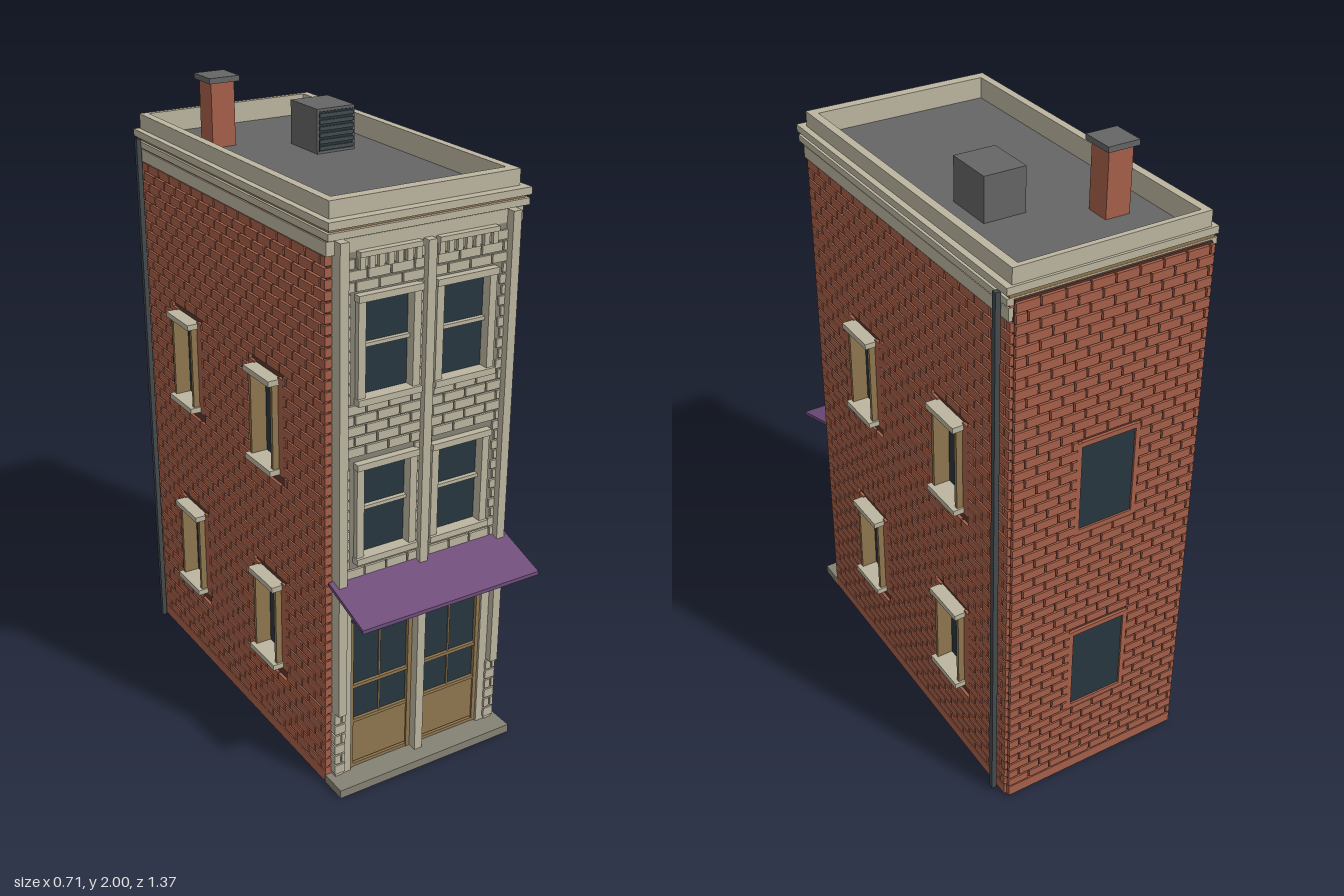
import * as THREE from 'three';
import { mergeGeometries } from 'three/addons/utils/BufferGeometryUtils.js';

const mat = (name, color) => {
  const m = new THREE.MeshStandardMaterial({ color });
  m.name = name;
  return m;
};

export function createModel() {
  const brick = mat('brick', 0xa65f49), mortar = mat('mortar', 0x5a362b);
  const stone = mat('stone', 0xbcb59f), darkStone = mat('darkStone', 0x858174);
  const wood = mat('wood', 0x8f754e), glass = mat('glass', 0x27363f);
  const metal = mat('metal', 0x444a4e), roofGrey = mat('roofGrey', 0x656565);
  const purple = mat('awningPurple', 0x6f4d7b);

  const model = new THREE.Group();
  model.name = 'townhouse';
  const group = (name, parent = model) => {
    const g = new THREE.Group();
    g.name = name;
    parent.add(g);
    return g;
  };
  const add = (name, m, geo, parent = model) => {
    const mesh = new THREE.Mesh(geo, m);
    mesh.name = name;
    parent.add(mesh);
    return mesh;
  };
  const boxGeo = (x0, x1, y0, y1, z0, z1) =>
    new THREE.BoxGeometry(x1 - x0, y1 - y0, z1 - z0).translate((x0 + x1) / 2, (y0 + y1) / 2, (z0 + z1) / 2);
  const box = (name, m, x0, x1, y0, y1, z0, z1, parent) => add(name, m, boxGeo(x0, x1, y0, y1, z0, z1), parent);

  // Wall panel facing +z with rectangular window openings [u0, u1, y0, y1]
  const rect = (Type, [a, b, c, d]) =>
    new Type([[a, c], [b, c], [b, d], [a, d]].map(p => new THREE.Vector2(...p)));
  const panel = (name, m, parent, outline, openings, z0, z1) => {
    const shape = rect(THREE.Shape, outline);
    shape.holes = openings.map(o => rect(THREE.Path, o));
    add(name, m, new THREE.ExtrudeGeometry(shape, { depth: z1 - z0, bevelEnabled: false }).translate(0, 0, z0), parent);
  };

  // Running-bond courses on a wall facing +z, leaving rectangular openings free
  const courses = (name, m, parent, { u0, u1, y0, y1, z0, z1, len = 0.076, row = 0.0325, gap = 0.0058, holes = [] }) => {
    const geos = [];
    const n = Math.round((y1 - y0) / row), h = (y1 - y0) / n;
    for (let r = 0; r < n; r++) {
      const a = y0 + r * h, b = a + h - gap;
      const cuts = holes.filter(k => k[2] < b && k[3] > a);
      for (let u = u0 - (r % 2) * len / 2; u < u1; u += len) {
        let pieces = [[Math.max(u, u0), Math.min(u + len - gap, u1)]];
        for (const k of cuts) {
          pieces = pieces.flatMap(([p, q]) =>
            q <= k[0] || p >= k[1] ? [[p, q]] : [[p, k[0]], [k[1], q]]);
        }
        for (const [p, q] of pieces) if (q - p > 0.005) geos.push(boxGeo(p, q, a, b, z0, z1));
      }
    }
    add(name, m, mergeGeometries(geos), parent);
  };

  // Rectangular ring around the roof, all sharing one inner outline
  const ring = (name, m, x, zb, zf, y0, y1) => {
    const g = group(name);
    const ix = 0.284, ib = -0.645, jf = 0.465;
    box(name + 'Left', m, ix, x, y0, y1, zb, zf, g);
    box(name + 'Right', m, -x, -ix, y0, y1, zb, zf, g);
    box(name + 'Front', m, -ix, ix, y0, y1, jf, zf, g);
    box(name + 'Back', m, -ix, ix, y0, y1, zb, ib, g);
  };

  // Core, underside, roof deck and front step
  box('wallCore', mortar, -0.284, 0.284, 0.012, 1.74, -0.675, 0.486);
  box('groundSlab', darkStone, -0.308, 0.308, 0, 0.012, -0.668, 0.5);
  box('roofDeck', roofGrey, -0.284, 0.284, 1.74, 1.783, -0.645, 0.465);
  box('frontStep', darkStone, -0.318, 0.318, 0, 0.028, 0.487, 0.58);

  // Side walls with bricks, recessed windows and downpipes
  const floors = [[0.285, 0.565], [0.965, 1.25]];
  for (const s of [1, -1]) {
    const side = group(s > 0 ? 'leftWall' : 'rightWall');
    side.rotation.y = s * Math.PI / 2;
    const holes = [], openings = [];
    for (const c of [-0.16 * s, 0.36 * s]) for (const [a, b] of floors) {
      holes.push([c - 0.1, c + 0.1, a - 0.02, b + 0.02]);
      openings.push([c - 0.07, c + 0.07, a, b]);
      const w = group('sideWindow', side);
      box('pane', glass, c - 0.062, c + 0.062, a, b, 0.284, 0.288, w);
      box('lintel', stone, c - 0.077, c + 0.077, b - 0.008, b + 0.01, 0.285, 0.354, w);
      box('sill', stone, c - 0.077, c + 0.077, a - 0.01, a + 0.008, 0.285, 0.354, w);
      for (const e of [-1, 1]) {
        const j = c + e * 0.065;
        box('jamb', wood, j - 0.006, j + 0.006, a, b, 0.284, 0.339, w);
        const k = c + e * 0.0855;
        box('brickSurround', brick, k - 0.0145, k + 0.0145, a - 0.015, b + 0.015, 0.309, 0.319, w);
      }
    }
    const u0 = s > 0 ? -0.49 : -0.67;
    panel('mortarPanel', mortar, side, [u0 + 0.002, u0 + 1.158, 0.012, 1.74], openings, 0.284, 0.31);
    courses('bricks', brick, side, { u0, u1: u0 + 1.16, y0: 0.045, y1: 1.705, z0: 0.308, z1: 0.319, holes });
    box('plinth', brick, u0, u0 + 1.16, 0.004, 0.04, 0.308, 0.319, side);
    box('downpipe', metal, s * 0.335 - 0.008, s * 0.335 + 0.008, 0.01, 1.778, -0.638, -0.622);
  }

  // Back wall with a single column of windows
  const back = group('backWall');
  back.rotation.y = Math.PI;
  box('mortarPanel', mortar, -0.308, 0.308, 0.012, 1.765, 0.668, 0.675, back);
  courses('bricks', brick, back, {
    u0: -0.31, u1: 0.31, y0: 0.045, y1: 1.765, z0: 0.673, z1: 0.684,
    holes: floors.map(([a, b]) => [-0.105, 0.105, a - 0.015, b + 0.015])
  });
  box('plinth', brick, -0.31, 0.31, 0.004, 0.04, 0.667, 0.684, back);
  for (const [a, b] of floors) {
    box('backPane', glass, -0.09, 0.09, a, b, 0.674, 0.678, back);
    for (const e of [-1, 1]) box('reveal', brick, e * 0.0975 - 0.0075, e * 0.0975 + 0.0075, a - 0.015, b + 0.015, 0.673, 0.684, back);
    for (const y of [a - 0.008, b + 0.008]) box('reveal', brick, -0.09, 0.09, y - 0.008, y + 0.008, 0.673, 0.684, back);
  }

  // Cornice and parapet
  ring('frieze', stone, 0.322, -0.667, 0.505, 1.703, 1.742);
  ring('corniceGap', brick, 0.318, -0.666, 0.5, 1.742, 1.75);
  ring('lowerCornice', stone, 0.328, -0.668, 0.525, 1.75, 1.77);
  ring('corniceStrip', wood, 0.32, -0.667, 0.515, 1.77, 1.78);
  ring('upperCornice', stone, 0.33, -0.67, 0.53, 1.78, 1.802);
  ring('parapet', stone, 0.31, -0.662, 0.5, 1.802, 1.85);

  // Front facade
  const front = group('frontFacade');
  const frontHoles = [], frontOpenings = [];
  for (const s of [-1, 1]) {
    const c = s * 0.128;
    for (const y of [0.775, 1.275]) {
      // The stone courses stop short of the outer jamb, showing grey beside it
      const outer = c + s * 0.12, inner = c - s * 0.098;
      frontHoles.push([Math.min(outer, inner), Math.max(outer, inner), y - 0.01, y + 0.3]);
      frontOpenings.push([c - 0.09, c + 0.09, y, y + 0.295]);
      const w = group('frontWindow', front);
      box('pane', glass, c - 0.088, c + 0.088, y, y + 0.295, 0.485, 0.489, w);
      for (const e of [-1, 1]) box('jamb', stone, c + e * 0.09 - 0.012, c + e * 0.09 + 0.012, y, y + 0.295, 0.487, 0.521, w);
      box('meetingRail', stone, c - 0.08, c + 0.08, y + 0.15, y + 0.161, 0.487, 0.503, w);
      box('lintel', stone, c - 0.105, c + 0.105, y + 0.29, y + 0.31, 0.487, 0.528, w);
      box('sill', stone, c - 0.105, c + 0.105, y - 0.012, y + 0.008, 0.487, 0.53, w);
    }
    // Dentils under the cornice
    for (let i = 0; i < 7; i++) {
      const x = c - 0.09 + i * 0.03;
      box('dentil', stone, x - 0.009, x + 0.009, 1.655, 1.695, 0.503, 0.522, front);
    }
    box('dentilBand', stone, c - 0.1, c + 0.1, 1.69, 1.705, 0.503, 0.526, front);

    // Corner pilaster with base blocks and the brick edge beside it
    const p = s * 0.282;
    box('pilaster', stone, p - 0.014, p + 0.014, 0.26, 1.742, 0.484, 0.533, front);
    box('pilasterFoot', stone, p - 0.014, p + 0.014, 0.028, 0.26, 0.484, 0.513, front);
    courses('footBlocks', stone, front, { u0: p - 0.018, u1: p + 0.018, y0: 0.04, y1: 0.26, z0: 0.486, z1: 0.518, len: 0.05, row: 0.037 });
    const e = s * 0.307;
    courses('cornerBricks', brick, front, { u0: e - 0.012, u1: e + 0.012, y0: 0.03, y1: 1.705, z0: 0.484, z1: 0.493, len: 0.1 });

    // Shop window
    const shop = group('shopWindow', front);
    box('shopJamb', stone, s * 0.255 - 0.016, s * 0.255 + 0.016, 0.028, 0.64, 0.484, 0.51, shop);
    box('shopPane', glass, c - 0.108, c + 0.108, 0.2, 0.58, 0.484, 0.491, shop);
    box('stallPanel', wood, c - 0.1, c + 0.1, 0.046, 0.2, 0.484, 0.497, shop);
    for (const k of [-1, 1]) box('frameStile', wood, c + k * 0.105 - 0.007, c + k * 0.105 + 0.007, 0.03, 0.585, 0.484, 0.503, shop);
    for (const y of [0.035, 0.2, 0.325, 0.578]) box('frameRail', wood, c - 0.1, c + 0.1, y - 0.005, y + 0.006, 0.484, 0.501, shop);
    box('centreBar', wood, c - 0.003, c + 0.003, 0.2, 0.575, 0.484, 0.495, shop);
  }
  panel('facadeBacking', darkStone, front, [-0.28, 0.28, 0.64, 1.705], frontOpenings, 0.485, 0.504);
  courses('stoneBlocks', stone, front, { u0: -0.268, u1: 0.268, y0: 0.65, y1: 1.69, z0: 0.5, z1: 0.511, len: 0.075, holes: frontHoles });
  box('centrePilaster', stone, -0.014, 0.014, 0.028, 1.705, 0.484, 0.53, front);
  box('shopBrickBand', brick, -0.24, 0.24, 0.588, 0.645, 0.484, 0.5, front);

  // Sloping awning and its struts
  const awning = group('awning');
  const cloth = new THREE.Shape([[0.5, 0.706], [0.5, 0.718], [0.686, 0.658], [0.686, 0.646]].map(p => new THREE.Vector2(...p)));
  add('canopy', purple,
    new THREE.ExtrudeGeometry(cloth, { depth: 0.624, bevelEnabled: false }).rotateY(-Math.PI / 2).translate(0.312, 0, 0), awning);
  for (const x of [-0.245, 0.245]) {
    const strut = box('strut', metal, -0.004, 0.004, -0.004, 0.004, -0.075, 0.075, awning);
    strut.position.set(x, 0.607, 0.592);
    strut.rotation.x = -Math.atan2(0.056, 0.13);
  }

  // Chimney and ventilation unit
  const chimney = group('chimney');
  box('stack', brick, -0.195, -0.116, 1.78, 1.985, -0.457, -0.378, chimney);
  box('cap', roofGrey, -0.206, -0.104, 1.983, 2, -0.47, -0.365, chimney);
  const vent = group('ventUnit');
  box('casing', roofGrey, 0.042, 0.175, 1.78, 1.92, -0.307, -0.148, vent);
  box('grille', glass, 0.048, 0.169, 1.79, 1.912, -0.15, -0.146, vent);
  for (let i = 0; i < 6; i++) {
    const y = 1.8 + i * 0.02;
    box('slat', metal, 0.048, 0.169, y - 0.006, y + 0.006, -0.15, -0.142, vent);
  }
  return model;
}
